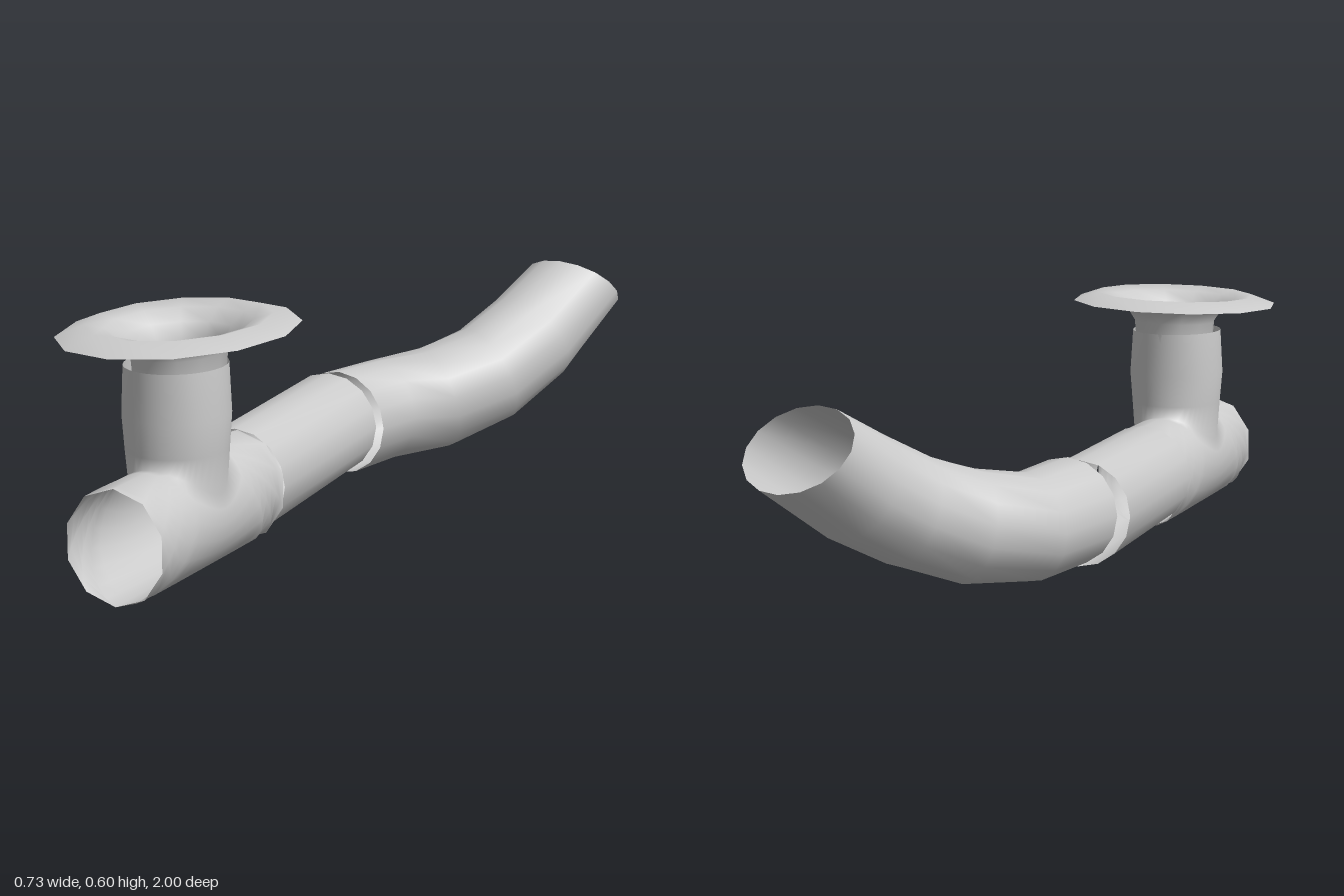
import * as THREE from 'three';
import { mergeVertices } from 'three/addons/utils/BufferGeometryUtils.js';

const V = (x, y, z) => new THREE.Vector3(x, y, z);
const material = new THREE.MeshStandardMaterial({ color: 0xcccccc, side: THREE.DoubleSide });

// Skin a list of closed rings of equal point count into a smooth open surface.
function loft(name, rings) {
  const n = rings[0].length, index = [];
  for (let i = 0; i < rings.length - 1; i++) {
    for (let j = 0; j < n; j++) {
      const k = (j + 1) % n;
      const a = i * n + j, b = i * n + k, c = (i + 1) * n + k, d = (i + 1) * n + j;
      index.push(a, b, c, a, c, d);
    }
  }
  let geometry = new THREE.BufferGeometry().setFromPoints(rings.flat());
  geometry.setIndex(index);
  geometry = mergeVertices(geometry, 1e-4);
  geometry.computeVertexNormals();
  const mesh = new THREE.Mesh(geometry, material);
  mesh.name = name;
  return mesh;
}

// Elliptical ring around a centre, perpendicular to a direction.
function ring(centre, direction, ru, rv = ru, sides = 16) {
  const n = direction.clone().normalize();
  const u = V(1, 0, 0).addScaledVector(n, -n.x).normalize();
  const v = n.clone().cross(u);
  return Array.from({ length: sides }, (_, i) => {
    const a = (i / sides) * Math.PI * 2;
    return centre.clone().addScaledVector(u, ru * Math.cos(a)).addScaledVector(v, rv * Math.sin(a));
  });
}

// Horizontal pipe with a saddle-shaped hole on top that runs on into the stem.
function tee() {
  const cx = -0.105, cy = 0.138, cz = 0.695, rx = 0.125, ry = 0.134, half = 0.285;
  const steps = 10, border = [];
  // border of the unrolled pipe, in (angle, length) from -1 to 1
  const corners = [[1, -1], [1, 1], [-1, 1], [-1, -1]];
  corners.forEach(([x, z], i) => {
    const [x2, z2] = corners[(i + 1) % 4];
    for (let k = 0; k < steps; k++) {
      const t = k / steps;
      border.push([x + (x2 - x) * t, z + (z2 - z) * t]);
    }
  });
  border.reverse();
  const angles = border.map(([x, z]) => Math.atan2(z, x));
  const rings = [];
  for (let r = 0; r <= 8; r++) {
    const t = r / 8;
    rings.push(border.map(([x, z], i) => {
      const holeTheta = Math.asin(0.11 / rx * Math.cos(angles[i]));
      const theta = THREE.MathUtils.lerp(x * Math.PI, holeTheta, t);
      const dz = THREE.MathUtils.lerp(z * half, 0.122 * Math.sin(angles[i]), t);
      return V(cx + rx * Math.sin(theta), cy + ry * Math.cos(theta), cz + dz);
    }));
  }
  // stem: height, x radius, z radius
  for (const [y, sx, sz] of [[0.3, 0.117, 0.123], [0.38, 0.124, 0.125], [0.495, 0.116, 0.128]]) {
    rings.push(angles.map((a) => V(-0.103 + sx * Math.cos(a), y, 0.7 + sz * Math.sin(a))));
  }
  return loft('teePipe', rings);
}

// Neck flaring into a thin, slightly tilted twelve-sided flange.
function flange() {
  const profile = [
    [0.45, 0.1, 0.116], [0.52, 0.106, 0.121], [0.556, 0.13, 0.14],
    [0.582, 0.165, 0.18], [0.593, 0.205, 0.23], [0.57, 0.267, 0.307],
  ];
  const rings = profile.map(([y, rx, rz]) => ring(V(-0.1, y, 0.69), V(0, 1, 0), rx, rz, 12));
  rings.flat().forEach((p) => { p.y += 0.03 * (p.x + 0.1) - 0.025 * (p.z - 0.69); });
  return loft('flange', rings);
}

export function createModel() {
  const group = new THREE.Group();
  group.name = 'pipeAssembly';
  group.add(tee(), flange());

  // straight middle pipe
  const back = V(-0.035, 0.01, -0.57);
  group.add(loft('middlePipe', [
    ring(V(-0.108, 0.146, 0.415), back, 0.126, 0.13),
    ring(V(-0.143, 0.156, -0.155), back, 0.129, 0.13),
  ]));

  // double-bent rear pipe: centre, direction, radius
  const bend = [
    [V(-0.115, 0.16, -0.155), V(0.1, 0, -1), 0.132],
    [V(-0.085, 0.156, -0.345), V(0.42, 0.03, -1), 0.13],
    [V(0.015, 0.173, -0.46), V(0.8, 0.3, -1), 0.135],
    [V(0.115, 0.225, -0.575), V(0.7, 0.5, -1), 0.133],
    [V(0.18, 0.302, -0.715), V(0.38, 0.62, -1), 0.132],
    [V(0.23, 0.414, -0.9), V(0.05, 0.77, -0.63), 0.13],
  ];
  group.add(loft('bentPipe', bend.map(([c, d, r]) => ring(c, d, r))));
  return group;
}
